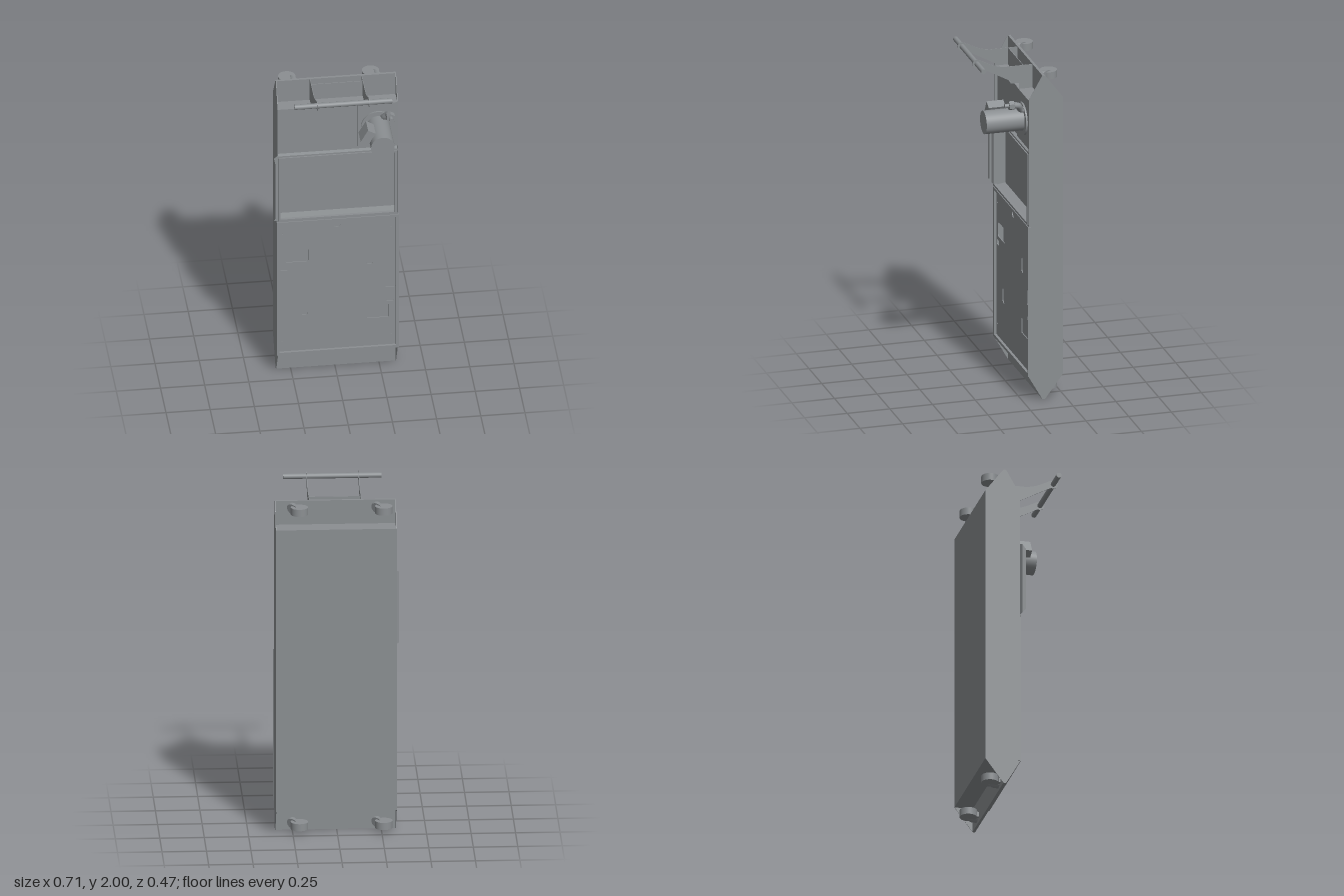
import * as THREE from 'three';

const X0 = -0.333, X1 = 0.347; // outer sides of the cabinet
const SHEET = 0.003;           // thickness of the end panels
const COLOR = 0x8b8f92;

export function createModel() {
  const root = new THREE.Group();
  const smooth = new THREE.MeshStandardMaterial({ color: COLOR });
  const flat = new THREE.MeshStandardMaterial({ color: COLOR, flatShading: true });
  const thin = new THREE.MeshStandardMaterial({ color: COLOR, flatShading: true, side: THREE.DoubleSide });

  const add = (name, geo, mat = flat, parent = root) => {
    const m = new THREE.Mesh(geo, mat);
    m.name = name;
    parent.add(m);
    return m;
  };
  // Box given by its min and max on each axis
  const box = (name, xa, xb, ya, yb, za, zb) =>
    add(name, new THREE.BoxGeometry(xb - xa, yb - ya, zb - za)
      .translate((xa + xb) / 2, (ya + yb) / 2, (za + zb) / 2));
  // Side profile in z and y, extruded from xa to xb
  const slab = (name, shape, xa, xb) =>
    add(name, new THREE.ExtrudeGeometry(shape, { depth: xb - xa, bevelEnabled: false, curveSegments: 10 })
      .rotateY(-Math.PI / 2).translate(xb, 0, 0));
  // Front outline in x and y, extruded from za to zb
  const sheet = (name, shape, za, zb) =>
    add(name, new THREE.ExtrudeGeometry(shape, { depth: zb - za, bevelEnabled: false, curveSegments: 8 })
      .translate(0, 0, za));
  const poly = pts => new THREE.Shape(pts.map(p => new THREE.Vector2(...p)));
  const rect = (xa, xb, ya, yb) => poly([[xa, ya], [xb, ya], [xb, yb], [xa, yb]]);
  // Cylinder along z
  const rod = (name, r, x, y, za, zb, seg = 40) =>
    add(name, new THREE.CylinderGeometry(r, r, zb - za, seg).rotateX(Math.PI / 2)
      .translate(x, y, (za + zb) / 2), smooth);

  // Cabinet: six-sided end panels with a stepped core between them
  const side = poly([[-0.115, 0], [-0.035, 0.14], [-0.035, 1.8], [-0.115, 1.94],
    [-0.13, 1.94], [-0.235, 1.8], [-0.235, 0.14], [-0.13, 0]]);
  slab('rightSidePanel', side, X0, X0 + SHEET);
  slab('leftSidePanel', side, X1 - SHEET, X1);
  slab('cabinetCore', poly([[-0.115, 0], [-0.115, 0.14], [-0.035, 0.14], [-0.035, 0.148],
    [-0.09, 0.15], [-0.09, 1.035], [-0.035, 1.04], [-0.035, 1.05], [-0.1, 1.06], [-0.1, 1.46],
    [-0.035, 1.47], [-0.035, 1.485], [-0.055, 1.49], [-0.055, 1.795], [-0.035, 1.8],
    [-0.115, 1.8], [-0.115, 1.94], [-0.13, 1.94], [-0.13, 1.8], [-0.235, 1.8],
    [-0.235, 0.14], [-0.13, 0.14], [-0.13, 0]]), X0 + SHEET, X1 - SHEET);

  // Rims around the middle opening and the lower door
  const rim = (name, xa, xb, ya, yb, w, za, zb) => {
    const s = rect(xa, xb, ya, yb);
    s.holes.push(rect(xa + w, xb - w, ya + w, yb - w));
    sheet(name, s, za, zb);
  };
  rim('middleOpeningRim', -0.33, 0.341, 1.05, 1.475, 0.012, -0.045, -0.028);
  rim('lowerDoorRim', -0.338, 0.352, 0.145, 1.04, 0.016, -0.046, -0.03);

  // Lower door with cut-outs: x, y, width, height, corner radius
  const door = rect(X0 + SHEET, X1 - SHEET, 0.147, 1.038);
  for (const [x, y, w, h, r] of [[-0.223, 0.802, 0.13, 0.088, 0.012], [-0.295, 0.72, 0.04, 0.03, 0.003],
    [0.19, 0.755, 0.036, 0.09, 0.014], [-0.18, 0.44, 0.04, 0.09, 0.016],
    [0.235, 0.39, 0.125, 0.088, 0.003], [0.306, 0.595, 0.06, 0.095, 0.012],
    [0.305, 0.47, 0.045, 0.035, 0.01], [0.005, 0.995, 0.04, 0.04, 0.0199],
    ...[-0.305, 0.312].flatMap(sx => [0.23, 0.955].map(sy => [sx, sy, 0.008, 0.008, 0.0039]))]) {
    const hole = new THREE.Path(), a = w / 2 - r, b = h / 2 - r;
    hole.absarc(x + a, y + b, r, 0, Math.PI / 2);
    hole.absarc(x - a, y + b, r, Math.PI / 2, Math.PI);
    hole.absarc(x - a, y - b, r, Math.PI, Math.PI * 1.5);
    hole.absarc(x + a, y - b, r, Math.PI * 1.5, Math.PI * 2);
    hole.closePath();
    door.holes.push(hole);
  }
  sheet('lowerDoor', door, -0.05, -0.045);

  // Folded guard along the right of the middle opening
  const path = [[-0.332, -0.035, 0], [-0.355, -0.025, 0.01], [-0.35, -0.004, 0.035], [-0.334, -0.009, 0.04]];
  const guard = new THREE.PlaneGeometry(1, 1, 3, 1), gp = guard.attributes.position;
  for (let i = 0; i < gp.count; i++) {
    const [x, z, inset] = path[i % 4];
    gp.setXYZ(i, x, i < 4 ? 1.49 - inset : 1.05 + inset, z);
  }
  guard.computeVertexNormals();
  add('sideGuard', guard, thin);

  // Push handle
  const arm = new THREE.Shape();
  arm.moveTo(-0.115, 1.94);
  arm.lineTo(-0.115, 1.8);
  arm.lineTo(-0.035, 1.8);
  arm.lineTo(-0.035, 1.836);
  arm.lineTo(0.014, 1.836);
  arm.lineTo(0.014, 1.852);
  arm.lineTo(0.19, 1.948);
  arm.absarc(0.21, 1.975, 0.026, -2, 1.5, false);
  arm.bezierCurveTo(0.16, 1.985, 0.11, 1.935, 0.02, 1.94);
  arm.closePath();
  for (const x of [-0.14, 0.153]) slab('handleArm', arm, x - 0.0015, x + 0.0015);
  box('handleBraceFlange', -0.14, 0.153, 1.836, 1.84, -0.062, 0.013);
  box('handleBraceWeb', -0.14, 0.153, 1.836, 1.94, -0.062, -0.058);
  add('handleBar', new THREE.CylinderGeometry(0.015, 0.015, 0.552, 24)
    .rotateZ(Math.PI / 2).translate(0.008, 1.975, 0.21), smooth);

  // Motor with flange and terminal box
  const mx = 0.234, my = 1.652;
  box('motorPlate', 0.12, X1 - SHEET, 1.505, 1.797, -0.06, -0.035);
  rod('motorFlange', 0.094, mx, my, -0.036, -0.025);
  rod('motorBody', 0.067, mx, my, -0.026, 0.197);
  const terminal = box('terminalBox', -0.025, 0.025, -0.042, 0.042, 0.057, 0.155);
  terminal.position.set(mx - 0.078, my + 0.045, 0);
  terminal.rotation.z = Math.PI * 5 / 6;

  // Bent outlet pipe with a nut
  const bend = new THREE.CatmullRomCurve3([[0.264, 1.712, -0.036], [0.268, 1.722, -0.01],
    [0.286, 1.75, 0.008], [0.295, 1.76, 0.04]].map(p => new THREE.Vector3(...p)));
  add('outletPipe', new THREE.TubeGeometry(bend, 20, 0.018, 16), smooth);
  add('outletNut', new THREE.CylinderGeometry(0.026, 0.026, 0.031, 6)
    .rotateX(Math.PI / 2).translate(0.295, 1.76, 0.052));
  rod('outletEnd', 0.012, 0.295, 1.76, 0.06, 0.091, 18);

  // Casters on the recessed back strips
  for (const y of [0.045, 1.9]) for (const x of [-0.262, 0.212]) {
    const caster = new THREE.Group();
    caster.name = 'caster';
    caster.position.set(x, y, 0);
    root.add(caster);
    add('wheel', new THREE.CylinderGeometry(0.049, 0.049, 0.042, 32).translate(0, 0, -0.19), smooth, caster);
    // Round stem whose outer end is cut on a slant
    const stem = new THREE.CylinderGeometry(0.029, 0.029, 1, 24).rotateX(Math.PI / 2);
    const p = stem.attributes.position;
    for (let i = 0; i < p.count; i++) {
      const t = (p.getX(i) + 0.029) / 0.058;
      p.setZ(i, p.getZ(i) > 0 ? -0.129 : -0.21 + 0.08 * t);
    }
    stem.computeVertexNormals();
    add('stem', stem, smooth, caster).position.x = 0.038;
    add('stemFoot', new THREE.BoxGeometry(0.025, 0.03, 0.012).translate(0.002, 0, -0.135), flat, caster);
  }
  return root;
}
